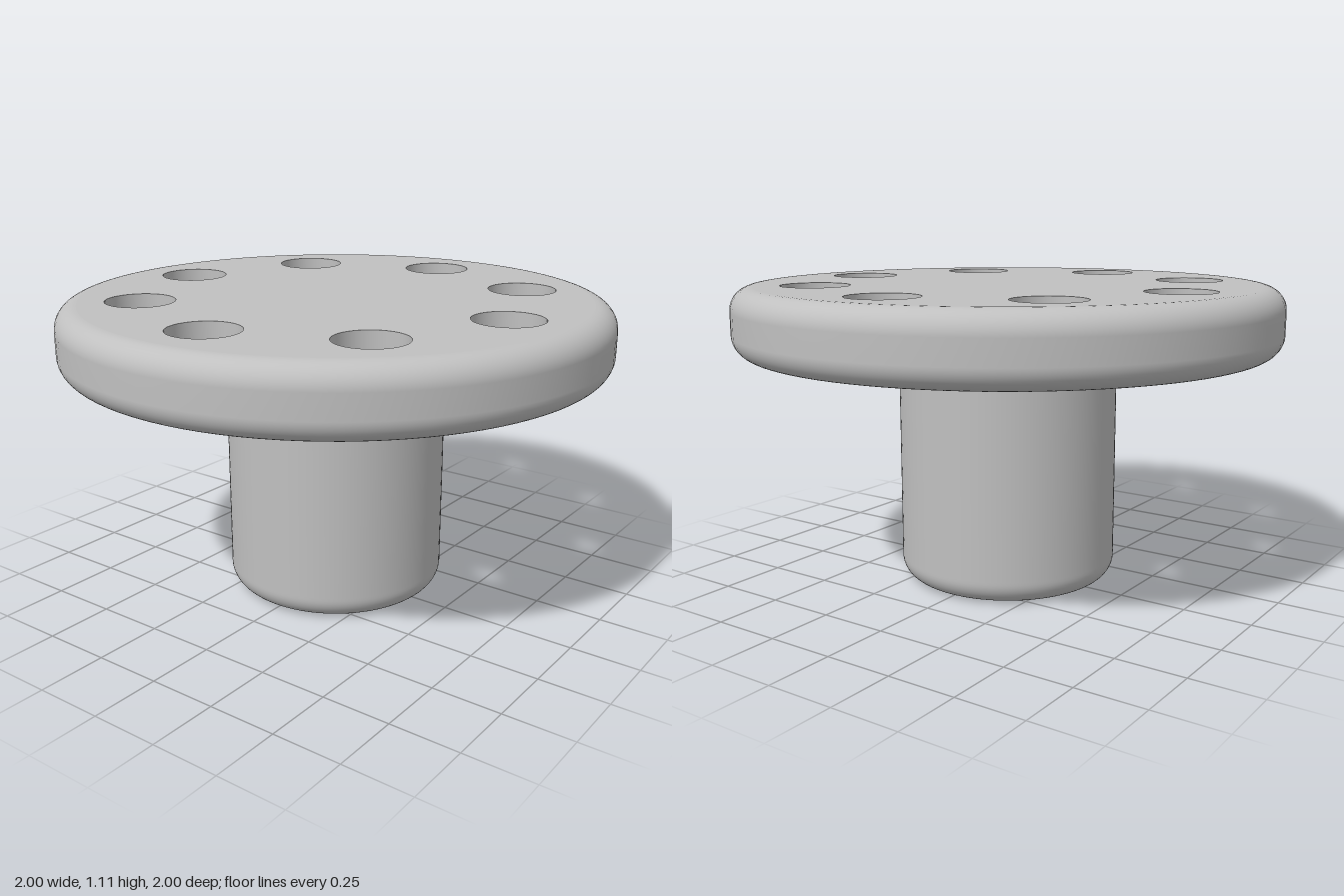
import * as THREE from 'three';
import { mergeGeometries } from 'three/addons/utils/BufferGeometryUtils.js';

const SEG = 96;
const FLANGE = { r: 1, bottom: 0.865, top: 1.11, fillet: 0.08 };
const SHAFT = { r: 0.405, fillet: 0.08, boreR: 0.16, boreTop: 0.8 };
const HOLES = { count: 8, r: 0.125, circle: 0.7 };

const lathe = (points) =>
  new THREE.LatheGeometry(points.map(([r, y]) => new THREE.Vector2(r, y)), SEG);

// Quarter-round points about (cx, cy), from angle a0 to a0 + 90 degrees
function fillet(cx, cy, r, a0, steps = 12) {
  return Array.from({ length: steps + 1 }, (_, i) => {
    const a = a0 + (i / steps) * Math.PI / 2;
    return [cx + r * Math.cos(a), cy + r * Math.sin(a)];
  });
}

const holeCentres = Array.from({ length: HOLES.count }, (_, i) => {
  const a = (i / HOLES.count) * Math.PI * 2;
  return [HOLES.circle * Math.cos(a), HOLES.circle * Math.sin(a)];
});

// Flat disc face pierced by the bolt holes, and optionally by a centre opening
function discFace(y, up, centreR) {
  const shape = new THREE.Shape();
  shape.absarc(0, 0, FLANGE.r - FLANGE.fillet, 0, Math.PI * 2);
  const cut = (x, z, r) => {
    const hole = new THREE.Path();
    hole.absarc(x, z, r, 0, Math.PI * 2, true);
    shape.holes.push(hole);
  };
  holeCentres.forEach(([x, z]) => cut(x, z, HOLES.r));
  if (centreR) cut(0, 0, centreR);
  return new THREE.ShapeGeometry(shape, SEG)
    .rotateX(up ? -Math.PI / 2 : Math.PI / 2)
    .translate(0, y, 0);
}

export function createModel() {
  const group = new THREE.Group();
  const metal = new THREE.MeshStandardMaterial({ color: 0xc0c0c0 });
  metal.name = 'grey metal';
  const add = (name, parts) => {
    const mesh = new THREE.Mesh(mergeGeometries(parts), metal);
    mesh.name = name;
    group.add(mesh);
  };

  // Flange: rounded rim and two pierced faces
  const { r, bottom, top, fillet: f } = FLANGE;
  add('flange', [
    lathe([
      ...fillet(r - f, bottom + f, f, -Math.PI / 2),
      ...fillet(r - f, top - f, f, 0),
    ]),
    discFace(top, true),
    discFace(bottom, false, SHAFT.r),
  ]);

  // Walls of the bolt holes
  add('boltHoles', holeCentres.map(([x, z]) =>
    lathe([[HOLES.r, top], [HOLES.r, bottom]]).translate(x, 0, z)));

  // Shaft: rounded lower edge, end ring
  const s = SHAFT;
  add('shaft', [
    lathe([[s.boreR, 0], [s.r - s.fillet, 0]]),
    lathe([
      ...fillet(s.r - s.fillet, s.fillet, s.fillet, -Math.PI / 2),
      [s.r, s.fillet + 0.01],
      [s.r, bottom],
    ]),
  ]);

  // Blind bore up the shaft
  add('bore', [
    lathe([[0, s.boreTop], [s.boreR, s.boreTop]]),
    lathe([[s.boreR, s.boreTop], [s.boreR, 0]]),
  ]);

  return group;
}
